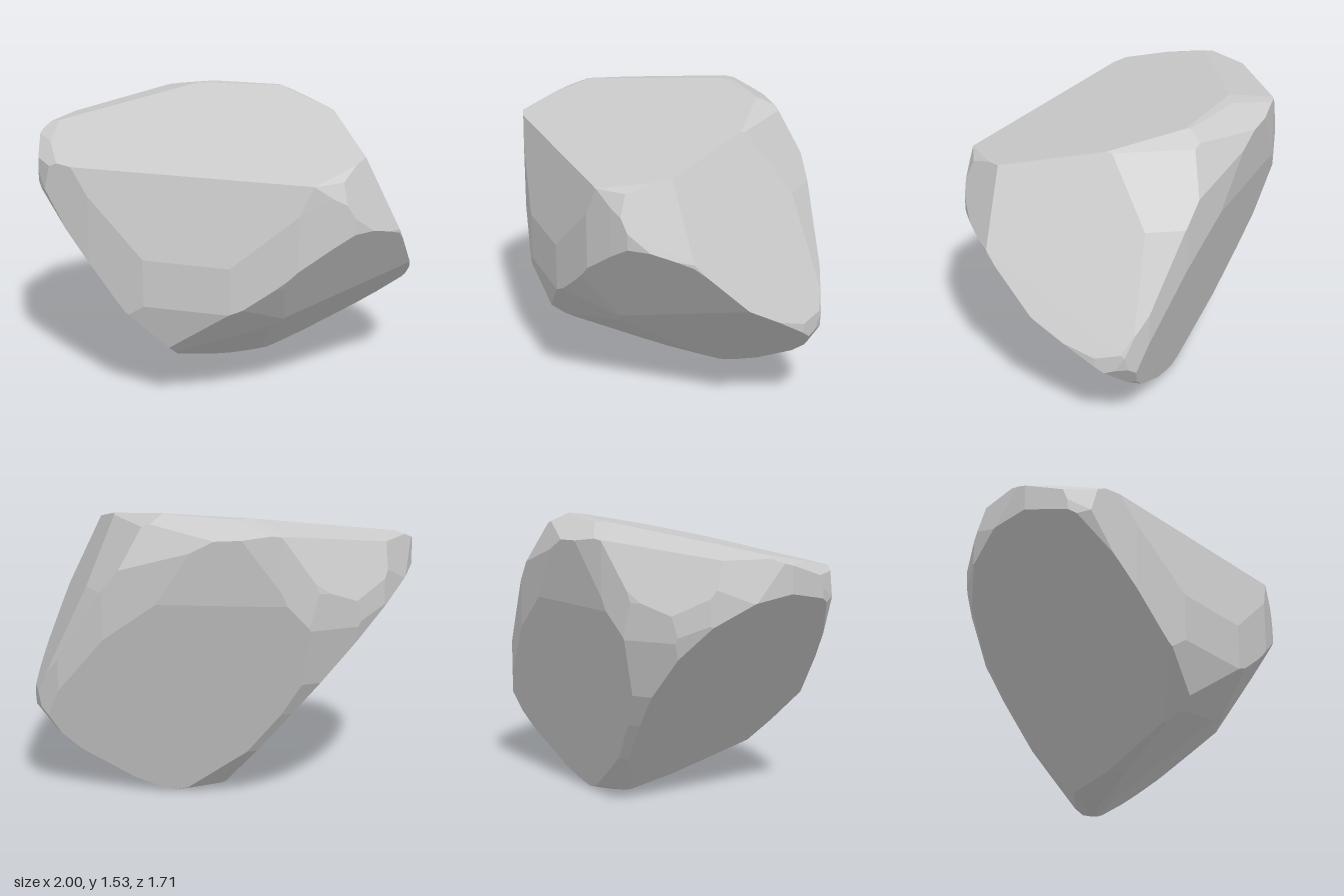
import * as THREE from 'three';
import { ConvexGeometry } from 'three/addons/geometries/ConvexGeometry.js';

const CENTRE = new THREE.Vector3(0, 0.85, 0);

// Outlines of the stone along each axis: [horizontal, vertical] points in order.
const FRONT = [ // x, y
  [-1, 1.15], [-0.98, 1.28], [-0.9, 1.35], [-0.78, 1.4], [0.12, 1.53], [0.43, 1.53], [0.55, 1.47],
  [0.76, 1.13], [0.97, 0.66], [1, 0.55], [0.99, 0.47], [0.9, 0.33], [0.78, 0.22], [0.62, 0.11],
  [0.42, 0.03], [0.3, 0], [0.22, 0], [0.13, 0.02], [-0.1, 0.1], [-0.42, 0.25], [-0.72, 0.55], [-0.9, 0.87],
];
const SIDE = [ // z, y
  [0.86, 1.06], [0.85, 1.18], [0.8, 1.3], [0.7, 1.37], [0.5, 1.43], [-0.2, 1.53], [-0.55, 1.52],
  [-0.8, 1.46], [-0.84, 1.3], [-0.855, 1.17], [-0.84, 0.98], [-0.75, 0.68], [-0.65, 0.5],
  [-0.5, 0.27], [-0.27, 0.03], [-0.2, 0], [-0.15, 0], [-0.05, 0.06], [0.52, 0.47], [0.72, 0.75], [0.83, 0.92],
];
const TOP = [ // x, z
  [-0.38, -0.855], [-0.18, -0.855], [0, -0.8], [0.23, -0.7], [0.4, -0.57], [0.75, -0.24], [0.93, -0.03],
  [1, 0.1], [0.97, 0.25], [0.88, 0.44], [0.75, 0.63], [0.6, 0.76], [0.43, 0.83], [0.28, 0.855],
  [0.17, 0.83], [0, 0.78], [-0.3, 0.6], [-0.65, 0.3], [-0.85, 0.05], [-1, -0.18], [-0.99, -0.3],
  [-0.9, -0.52], [-0.77, -0.68], [-0.58, -0.8],
];

// Broad cleaved faces: normal x, y, z and the offset along it.
const CUTS = [
  [-0.144, 1, 0.165, 1.422],       // top
  [-0.144, 1, -0.2, 1.623],        // top, back strip
  [0.295, 0.89, -0.346, 1.588],    // top, back left corner
  [0.7, 0.45, -0.55, 1.21],        // back left corner chamfer
  [-0.65, 0.2, 0.76, 0.822],       // front right
  [-0.6, -0.25, 0.7, 0.45],        // front right, lower chamfer
  [0.187, -0.761, 0.62, -0.036],   // lower front
  [-0.09, -0.7, 0.71, 0.031],      // lower front, right part
  [0.06, -0.255, 0.389, 0.086],    // middle front
  [0.4, 0.35, 0.85, 1.23],         // front corner chamfer
  [0.453, 0.224, 0.134, 0.594],    // left
  [0.52, -0.25, -0.81, 0.363],     // back left
  [0.53, -0.12, -0.82, 0.515],     // back left, upper edge
  [-0.66, -0.635, -0.41, 0.04],    // back right, underneath
  [-0.13, 0.3, -1, 1.237],         // back rim
  [-0.6, 0.2, -0.8, 1.24],         // back rim, right part
  [-0.35, -0.25, -0.9, 0.655],     // back, below the rim
];

// Each outline edge becomes a plane running along the viewing axis.
// Planes are kept relative to CENTRE, with normals pointing outwards.
function outlinePlanes(points, toVector) {
  return points.map((p, i) => {
    const q = points[(i + 1) % points.length];
    const normal = toVector(q[1] - p[1], p[0] - q[0]).normalize();
    const d = normal.dot(toVector(p[0], p[1])) - normal.dot(CENTRE);
    return d < 0 ? { normal: normal.negate(), d: -d } : { normal, d };
  });
}

// Corner points of the solid enclosed by planes, found through its dual hull.
function cornersOf(planes) {
  const dual = new ConvexGeometry(planes.map(({ normal, d }) => normal.clone().divideScalar(d)));
  const pos = dual.getAttribute('position');
  const corners = [];
  const [a, b, c] = [0, 1, 2].map(() => new THREE.Vector3());
  for (let i = 0; i < pos.count; i += 3) {
    a.fromBufferAttribute(pos, i);
    b.fromBufferAttribute(pos, i + 1).sub(a);
    c.fromBufferAttribute(pos, i + 2).sub(a);
    const n = b.clone().cross(c);
    const corner = n.divideScalar(n.dot(a)).add(CENTRE);
    if (corner.length() < 3 && !corners.some((k) => k.distanceTo(corner) < 0.004)) corners.push(corner);
  }
  return corners;
}

export function createModel() {
  const planes = [
    ...outlinePlanes(FRONT, (u, v) => new THREE.Vector3(u, v, 0)),
    ...outlinePlanes(SIDE, (u, v) => new THREE.Vector3(0, v, u)),
    ...outlinePlanes(TOP, (u, v) => new THREE.Vector3(u, 0, v)),
    ...CUTS.map(([x, y, z, offset]) => {
      const normal = new THREE.Vector3(x, y, z);
      return { normal, d: offset - normal.dot(CENTRE) };
    }),
  ];
  const rock = new THREE.Mesh(
    new ConvexGeometry(cornersOf(planes)),
    new THREE.MeshStandardMaterial({ color: 0xcccccc, flatShading: true }),
  );
  rock.name = 'rock';
  const group = new THREE.Group();
  group.name = 'boulder';
  group.add(rock);
  return group;
}
